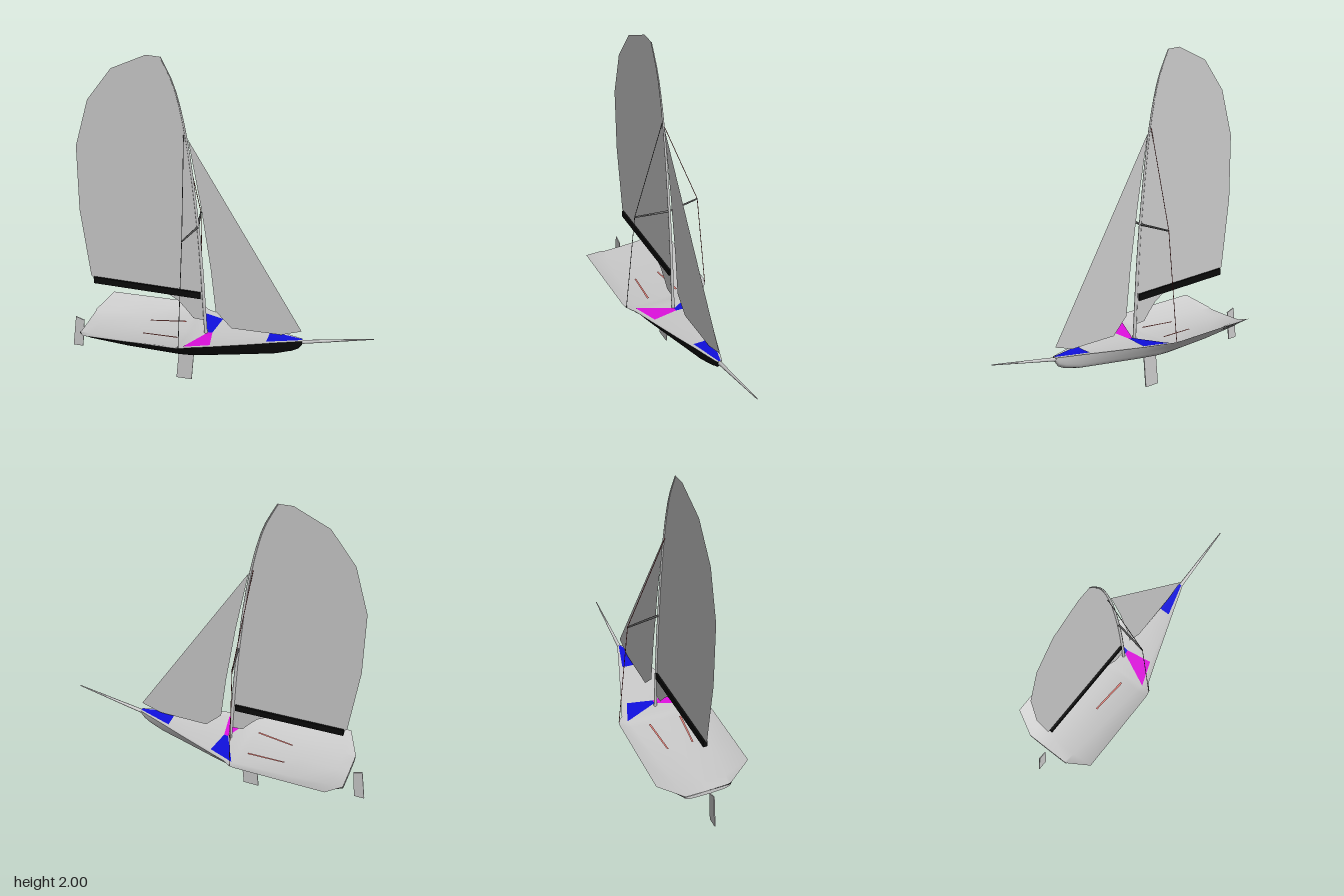
import * as THREE from 'three';

const mat = (color = 0xcccccc) => new THREE.MeshStandardMaterial({ color, side: THREE.DoubleSide });
const GREY = mat(), BLACK = mat(0x0a0a0a), BLUE = mat(0x1010e0), MAGENTA = mat(0xe010e0),
  RED = mat(0xe08078), DARK_RED = mat(0x803030), DARK = mat(0x505050);
const V = (x, y, z) => new THREE.Vector3(x, y, z);

// Hull stations: x, gunwale z y, flare z y, bilge z y, keel y, cockpit edge z y, deck centre y
const stations = [
  [-0.81, 0.14, 0.315, 0.137, 0.30, 0.115, 0.287, 0.28, 0.125, 0.308, 0.306],
  [-0.74, 0.275, 0.375, 0.19, 0.32, 0.13, 0.28, 0.273, 0.14, 0.31, 0.307],
  [-0.5, 0.275, 0.375, 0.2, 0.315, 0.148, 0.27, 0.258, 0.165, 0.315, 0.31],
  [-0.2, 0.275, 0.375, 0.2, 0.312, 0.155, 0.265, 0.247, 0.195, 0.335, 0.325],
  [-0.165, 0.268, 0.372, 0.198, 0.312, 0.153, 0.265, 0.247, 0.205, 0.345, 0.33],
  [-0.12, 0.23, 0.362, 0.188, 0.312, 0.148, 0.265, 0.247, 0.2, 0.348, 0.335],
  [0, 0.186, 0.361, 0.155, 0.312, 0.118, 0.267, 0.25, 0.155, 0.349, 0.342],
  [0.2, 0.118, 0.366, 0.098, 0.318, 0.07, 0.275, 0.258, 0.098, 0.36, 0.354],
  [0.35, 0.066, 0.371, 0.055, 0.325, 0.038, 0.285, 0.27, 0.055, 0.367, 0.364],
  [0.44, 0.036, 0.373, 0.031, 0.34, 0.021, 0.31, 0.293, 0.03, 0.371, 0.37],
  [0.48, 0.022, 0.374, 0.019, 0.35, 0.013, 0.33, 0.315, 0.018, 0.373, 0.372],
  [0.5, 0.015, 0.375, 0.013, 0.362, 0.009, 0.352, 0.345, 0.012, 0.374, 0.374],
];

function stationAt(x) {
  const i = Math.max(1, stations.findIndex(s => s[0] >= x));
  const a = stations[i - 1], b = stations[i], t = (x - a[0]) / (b[0] - a[0]);
  return a.map((v, k) => v + (b[k] - v) * t);
}

// Height of the deck surface at a point
function deckY(x, z) {
  const s = stationAt(x), w = Math.abs(z);
  return w < s[8] ? s[10] + (s[9] - s[10]) * w / s[8]
    : s[9] + (s[2] - s[9]) * Math.min(1, (w - s[8]) / (s[1] - s[8]));
}

// Skin over rows of points
function loft(rows) {
  const n = rows[0].length, index = [];
  for (let i = 0; i < rows.length - 1; i++) for (let j = 0; j < n - 1; j++) {
    const a = i * n + j, b = a + n;
    index.push(a, a + 1, b, a + 1, b + 1, b);
  }
  const g = new THREE.BufferGeometry().setFromPoints(rows.flat());
  g.setIndex(index);
  g.computeVertexNormals();
  return g;
}

export function createModel() {
  const boat = new THREE.Group();
  const add = (name, geo, material = GREY) => {
    const m = new THREE.Mesh(geo, material);
    m.name = name;
    boat.add(m);
    return m;
  };
  // Tapered rod between two points
  const rod = (name, a, b, r1, r2, material, sides = 8) => {
    const m = add(name, new THREE.CylinderGeometry(r2, r1, a.distanceTo(b), sides), material);
    m.position.copy(a).lerp(b, 0.5);
    m.quaternion.setFromUnitVectors(V(0, 1, 0), b.clone().sub(a).normalize());
    return m;
  };
  // Flat outline on the centre plane
  const sheet = (name, pts, depth = 0) => {
    const shape = new THREE.Shape(pts.map(p => new THREE.Vector2(...p)));
    const geo = depth ? new THREE.ExtrudeGeometry(shape, { depth, bevelEnabled: false }).translate(0, 0, -depth / 2)
      : new THREE.ShapeGeometry(shape);
    return add(name, geo);
  };
  // Quad laid over the deck, corners as [x, z]
  const patch = (name, [a, b, c, d], material, lift = 0.004) => {
    const rows = [], N = 8, mix = (p, q, t) => p + (q - p) * t;
    for (let i = 0; i <= N; i++) {
      const row = [];
      for (let j = 0; j <= N; j++) {
        const [x, z] = [0, 1].map(k => mix(mix(a[k], b[k], i / N), mix(d[k], c[k], i / N), j / N));
        row.push(V(x, deckY(x, z) + lift, z));
      }
      rows.push(row);
    }
    add(name, loft(rows), material);
  };

  // Hull halves with end caps, one dark and one light
  for (const side of [1, -1]) {
    const material = side > 0 ? BLACK : GREY, label = side > 0 ? 'Front' : 'Back';
    const rows = stations.map(s => {
      const curve = new THREE.CatmullRomCurve3([V(s[0], s[7], 0), V(s[0], s[6], side * s[5]),
        V(s[0], s[4], side * s[3]), V(s[0], s[2], side * s[1])]);
      return curve.getPoints(9);
    });
    add('hull' + label, loft(rows), material);
    for (const [name, row, s] of [['transom', rows[0], stations[0]], ['stem', rows.at(-1), stations.at(-1)]]) {
      add(name + label, loft([row, row.map(p => V(s[0], s[10], p.z))]), name === 'stem' ? material : GREY);
    }
  }

  // Deck with sunken cockpit and raised side wings
  add('deck', loft(stations.map(s => [V(s[0], s[2], -s[1]), V(s[0], s[9], -s[8]), V(s[0], s[10], 0),
    V(s[0], s[9], s[8]), V(s[0], s[2], s[1])])));

  // Coloured deck panels and foot straps
  patch('bowPanel', [[0.3, -0.06], [0.5, -0.006], [0.5, 0.006], [0.3, 0.06]], BLUE);
  for (const s of [1, -1]) {
    patch('sidePanel', [[-0.16, s * 0.21], [-0.01, s * 0.155], [-0.035, 0], [-0.06, 0]], s > 0 ? MAGENTA : BLUE);
    patch('footStrap', [[-0.44, s * 0.072], [-0.22, s * 0.09], [-0.22, s * 0.102], [-0.44, s * 0.082]], RED, 0.01);
  }

  // Foils
  sheet('daggerboard', [[-0.235, 0.26], [-0.143, 0.26], [-0.165, 0], [-0.26, 0]], 0.006);
  sheet('rudder', [[-0.888, 0.33], [-0.835, 0.312], [-0.853, 0.13], [-0.914, 0.13]], 0.006);

  // Bowsprit
  rod('bowsprit', V(0.49, 0.36, 0), V(0.91, 0.442, 0), 0.012, 0.003);

  // Curved tapering mast
  const luff = [[-0.075, 0.335], [-0.1, 0.8], [-0.125, 1.1], [-0.165, 1.45], [-0.205, 1.68],
    [-0.25, 1.85], [-0.318, 1.995]];
  const mast = new THREE.CatmullRomCurve3(luff.map(p => V(...p, 0))).getPoints(14);
  for (let i = 0; i < 14; i++) {
    rod('mast', mast[i], mast[i + 1], 0.01 - 0.0005 * i, 0.0095 - 0.0005 * i, GREY);
  }

  // Boom
  const boom = add('boom', new THREE.BoxGeometry(0.652, 0.04, 0.024), BLACK);
  boom.position.set(-0.431, 0.593, 0);
  boom.rotation.z = -0.027;

  // Sails
  const mastEdge = mast.filter(p => p.y > 0.43).map(p => [p.x, p.y]);
  sheet('mainSail', [[-0.08, 0.42], ...mastEdge, [-0.4, 2], [-0.6, 1.91], [-0.745, 1.72],
    [-0.826, 1.44], [-0.826, 1.05], [-0.79, 0.75], [-0.775, 0.625], [-0.74, 0.6], [-0.38, 0.58],
    [-0.3, 0.565], [-0.24, 0.53], [-0.19, 0.475], [-0.15, 0.425]]);
  sheet('jib', [[-0.17, 1.54], [0.495, 0.43], [0.375, 0.39], [0.08, 0.39], [-0.015, 0.49],
    [-0.045, 0.77], [-0.1, 1.15]]);

  // Spreaders and shrouds
  for (const s of [1, -1]) {
    const tip = V(-0.155, 1.02, s * 0.2), wire = s > 0 ? DARK : DARK_RED;
    rod('spreader', V(-0.118, 1.02, 0), tip, 0.007, 0.005, DARK, 6);
    rod('upperShroud', V(-0.195, 1.565, 0), tip, 0.002, 0.002, wire, 5);
    rod('lowerShroud', tip, V(-0.167, 0.372, s * 0.265), 0.002, 0.002, wire, 5);
  }
  return boat;
}
